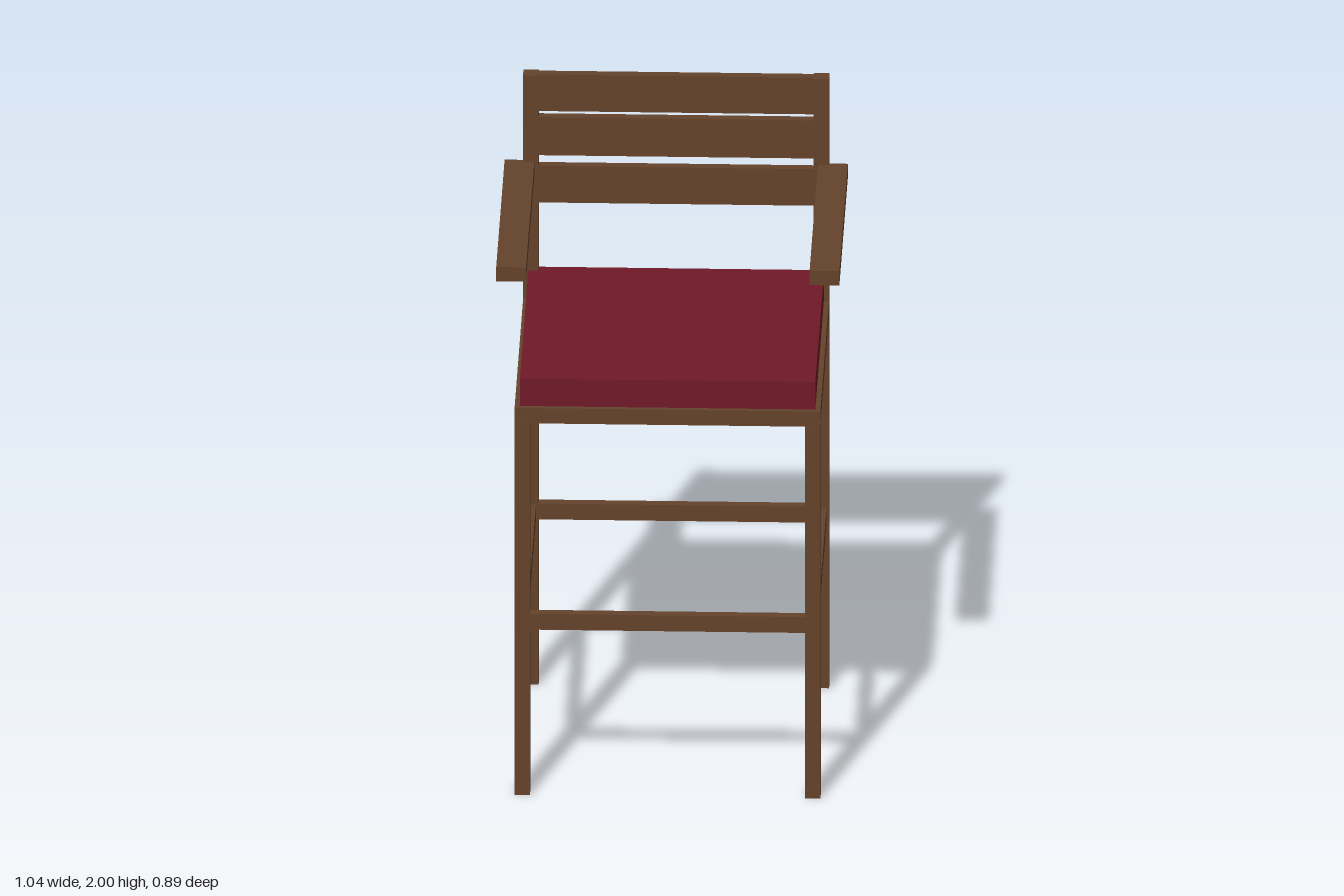
import * as THREE from 'three';

export function createModel() {
  const model = new THREE.Group();
  model.name = 'barChair';
  const wood = new THREE.MeshStandardMaterial({ color: 0x64432b });
  const fabric = new THREE.MeshStandardMaterial({ color: 0x701a28 });

  // Box given by its extents along each axis
  function block(name, [x0, x1], [y0, y1], [z0, z1], material = wood) {
    const mesh = new THREE.Mesh(new THREE.BoxGeometry(x1 - x0, y1 - y0, z1 - z0), material);
    mesh.position.set((x0 + x1) / 2, (y0 + y1) / 2, (z0 + z1) / 2);
    mesh.name = name;
    model.add(mesh);
  }
  // Extents mirrored to the chosen side
  const mirror = (side, a, b) => (side > 0 ? [a, b] : [-b, -a]);

  const legX = [0.415, 0.462], legZ = [0.4, 0.445];
  const inner = [-legX[0], legX[0]], depth = [-legZ[0], legZ[0]];
  const railY = [0.54, 0.592];

  for (const side of [1, -1]) {
    const label = side > 0 ? 'left' : 'right';
    // Front legs stop under the seat, back posts run up to the top
    block(label + 'FrontLeg', mirror(side, ...legX), [0, 1.22], legZ);
    block(label + 'BackPost', mirror(side, ...legX), [0, 2], mirror(-1, ...legZ));
    // Foot rail along the side, and a floating armrest
    block(label + 'SideRail', mirror(side, 0.423, 0.454), railY, depth);
    block(label + 'Armrest', mirror(side, 0.428, 0.518), [1.67, 1.717], [-0.413, 0.41]);
    // Foot rail across the front or back
    block(side > 0 ? 'frontRail' : 'backRail', inner, railY, mirror(side, 0.407, 0.438));
  }

  // Seat board and cushion
  block('seatBoard', [-0.4615, 0.4615], [1.22, 1.27], [-0.4445, 0.4445]);
  block('seatCushion', [-0.446, 0.446], [1.27, 1.36], [-0.429, 0.429], fabric);

  // Backrest slats
  [[1.58, 1.7], [1.735, 1.86], [1.88, 2]].forEach((y, i) =>
    block('backSlat' + (i + 1), inner, y, [-0.438, -0.408]));

  return model;
}
